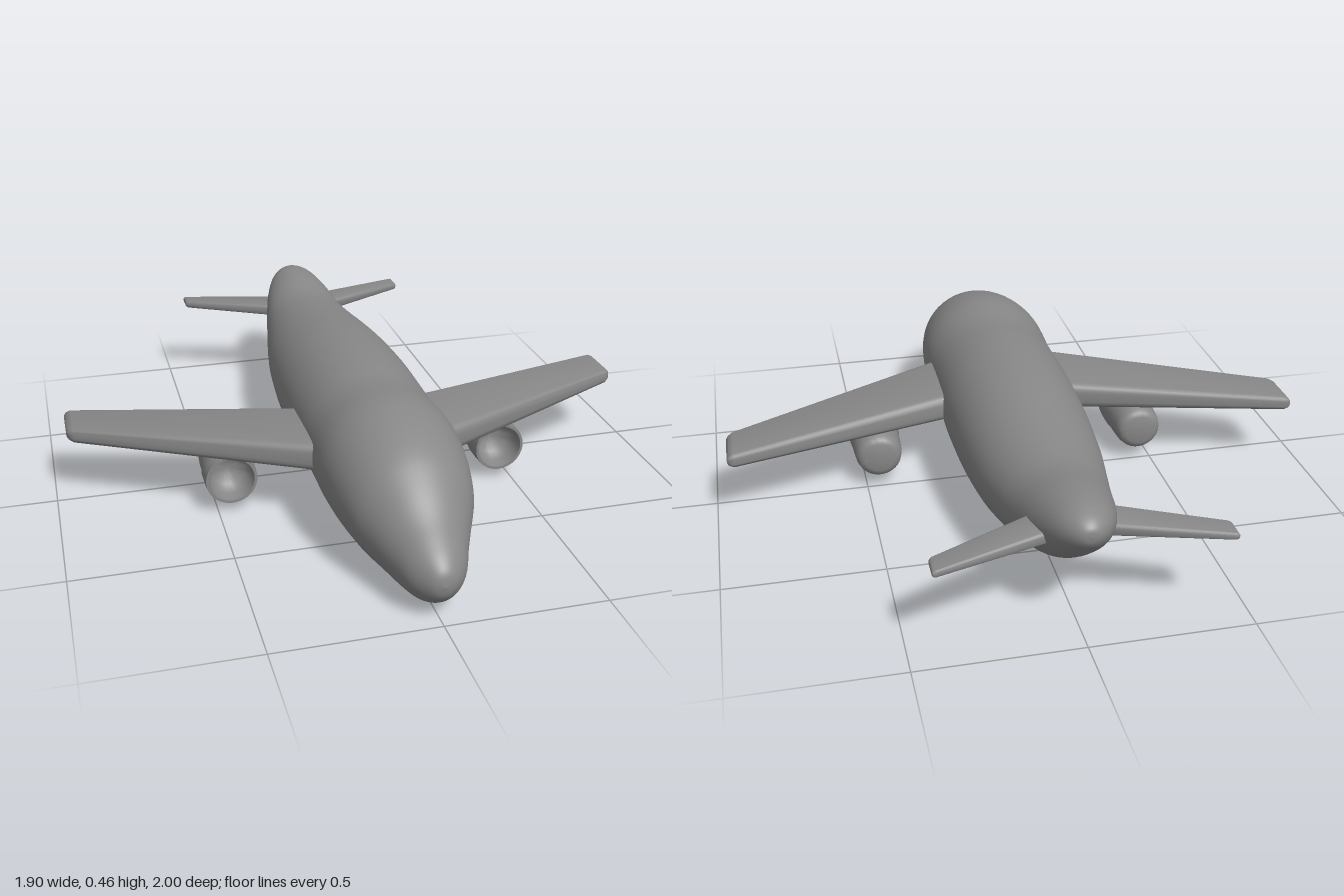
import * as THREE from 'three';
import { toCreasedNormals } from 'three/addons/utils/BufferGeometryUtils.js';

const bodyGrey = new THREE.MeshStandardMaterial({ color: 0x888888 });
bodyGrey.name = 'bodyGrey';

// Skin a list of closed rings, ordered along their axis
function loft(rings) {
  const n = rings[0].length, index = [];
  for (let i = 0; i < rings.length - 1; i++) {
    for (let j = 0; j < n; j++) {
      const k = (j + 1) % n;
      const a = i * n + j, b = i * n + k, c = b + n, d = a + n;
      index.push(a, b, c, a, c, d);
    }
  }
  const g = new THREE.BufferGeometry();
  g.setFromPoints(rings.flat());
  g.setIndex(index);
  g.computeVertexNormals();
  return g;
}

function part(name, geometry) {
  const mesh = new THREE.Mesh(geometry, bodyGrey);
  mesh.name = name;
  return mesh;
}

// Fuselage stations from tail to nose: z, bottom, top, half width
const stations = [
  [-1.0, 0.365, 0.365, 0], [-0.993, 0.335, 0.39, 0.03], [-0.96, 0.295, 0.412, 0.065],
  [-0.9, 0.243, 0.424, 0.098], [-0.8, 0.17, 0.42, 0.13], [-0.67, 0.115, 0.402, 0.156],
  [-0.55, 0.075, 0.406, 0.179], [-0.4, 0.042, 0.422, 0.203], [-0.2, 0.013, 0.445, 0.219],
  [0, 0.001, 0.456, 0.225], [0.15, 0.003, 0.456, 0.223], [0.3, 0.007, 0.45, 0.222],
  [0.46, 0.011, 0.457, 0.225], [0.59, 0.013, 0.435, 0.212], [0.7, 0.015, 0.395, 0.187],
  [0.78, 0.017, 0.34, 0.152], [0.86, 0.021, 0.272, 0.116], [0.92, 0.033, 0.23, 0.092],
  [0.96, 0.054, 0.2, 0.066], [0.99, 0.089, 0.167, 0.034], [1.0, 0.127, 0.127, 0],
];

function fuselageGeometry() {
  const curve = (f) => new THREE.CatmullRomCurve3(stations.map(f), false, 'catmullrom', 0.5);
  const heights = curve((s) => new THREE.Vector3(s[0], s[1], s[2]));
  const widths = curve((s) => new THREE.Vector3(s[0], s[3], 0));
  const rings = [], steps = (stations.length - 1) * 4, sides = 48;
  for (let i = 0; i <= steps; i++) {
    const h = heights.getPoint(i / steps), w = widths.getPoint(i / steps).y;
    const ring = [];
    for (let j = 0; j < sides; j++) {
      const t = (j / sides) * Math.PI * 2;
      ring.push(new THREE.Vector3(
        w * Math.cos(t), (h.y + h.z) / 2 + ((h.z - h.y) / 2) * Math.sin(t), h.x));
    }
    rings.push(ring);
  }
  return loft(rings);
}

// Rounded rectangle across a wing, at distance x from the centre line
function wingSection({ x, front, back, bottom, top, inset = 0 }) {
  const halfY = (top - bottom) / 2 - inset, halfZ = (front - back) / 2 - inset;
  const r = Math.max(0, Math.min(halfY, halfZ) * 0.6), ring = [];
  for (let q = 0; q < 4; q++) {
    const sy = q === 0 || q === 3 ? 1 : -1, sz = q < 2 ? 1 : -1;
    for (let k = 0; k <= 4; k++) {
      const t = ((q + k / 4) * Math.PI) / 2;
      ring.push(new THREE.Vector3(x,
        (top + bottom) / 2 + sy * (halfY - r) + r * Math.cos(t),
        (front + back) / 2 + sz * (halfZ - r) + r * Math.sin(t)));
    }
  }
  return ring;
}

// Tapered wing with a softly rounded tip, for side +1 or -1
function wingGeometry(root, tip, round, side) {
  const lerp = (t) => Object.fromEntries(
    Object.keys(root).map((k) => [k, root[k] + (tip[k] - root[k]) * t]));
  const nearTip = lerp(1 - round / (tip.x - root.x));
  const midTip = lerp(1 - (round * 0.3) / (tip.x - root.x));
  let rings = [
    wingSection(root), wingSection(nearTip),
    wingSection({ ...midTip, inset: round * 0.3 }),
    wingSection({ ...tip, inset: round * 0.7 }),
  ];
  const centre = new THREE.Vector3(tip.x, (tip.top + tip.bottom) / 2, (tip.front + tip.back) / 2);
  rings.push(rings[0].map(() => centre.clone()));
  if (side < 0) {
    rings = rings.map((r) => r.map((p) => new THREE.Vector3(-p.x, p.y, p.z))).reverse();
  }
  return toCreasedNormals(loft(rings), 0.7);
}

// Engine pod turned from back centre, round the lip, into the hollow intake
function engineGeometry() {
  const profile = [
    [0, -0.018], [0.05, -0.018], [0.064, -0.013], [0.073, -0.002], [0.078, 0.02],
    [0.081, 0.07], [0.081, 0.115], [0.085, 0.135], [0.085, 0.19], [0.083, 0.222],
    [0.074, 0.222], [0.07, 0.18], [0.055, 0.145], [0.03, 0.13], [0, 0.125],
  ].map(([r, z]) => new THREE.Vector2(r, z));
  return toCreasedNormals(new THREE.LatheGeometry(profile, 40).rotateX(Math.PI / 2), 0.8);
}

export function createModel() {
  const plane = new THREE.Group();
  plane.name = 'airplane';
  plane.add(part('fuselage', fuselageGeometry()));

  const wingRoot = { x: 0.15, front: 0.402, back: 0.08, bottom: 0.186, top: 0.281 };
  const wingTip = { x: 0.95, front: 0.008, back: -0.157, bottom: 0.21, top: 0.256 };
  const tailRoot = { x: 0.05, front: -0.738, back: -0.867, bottom: 0.276, top: 0.32 };
  const tailTip = { x: 0.43, front: -0.917, back: -0.99, bottom: 0.288, top: 0.31 };

  for (const [side, name] of [[1, 'left'], [-1, 'right']]) {
    plane.add(part(name + 'Wing', wingGeometry(wingRoot, wingTip, 0.022, side)));
    plane.add(part(name + 'Tailplane', wingGeometry(tailRoot, tailTip, 0.009, side)));
    const engine = part(name + 'Engine', engineGeometry());
    engine.position.set(side * 0.455, 0.118, 0);
    plane.add(engine);
  }
  return plane;
}
